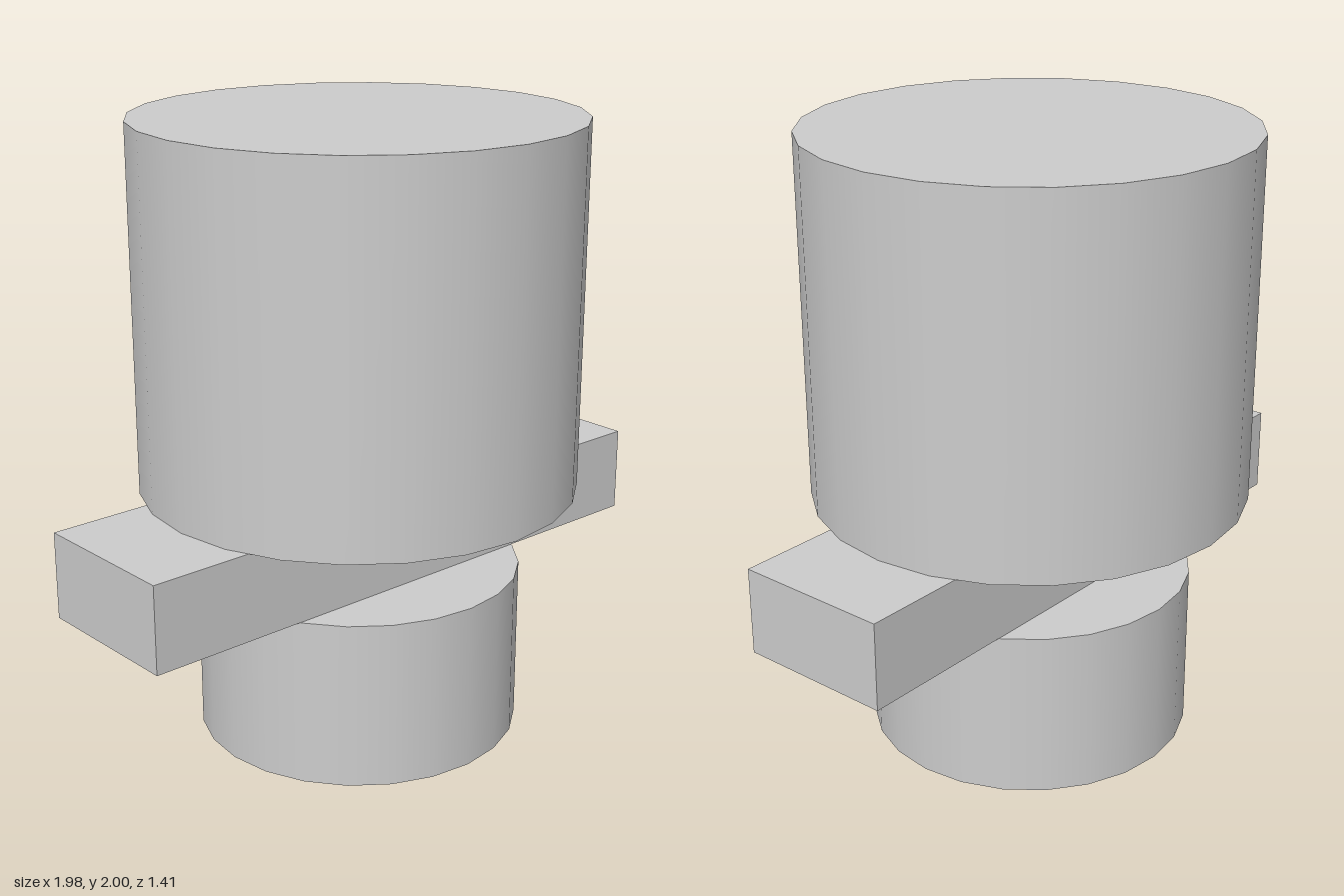
import * as THREE from 'three';

export function createModel() {
  const model = new THREE.Group();
  const grey = new THREE.MeshStandardMaterial({ color: 0xcccccc });
  grey.name = 'plain grey';

  const add = (name, geometry, bottom, top) => {
    const mesh = new THREE.Mesh(geometry, grey);
    mesh.name = name;
    mesh.position.y = (bottom + top) / 2;
    model.add(mesh);
  };
  const drum = (name, radius, bottom, top) =>
    add(name, new THREE.CylinderGeometry(radius, radius, top - bottom, 24), bottom, top);

  // Narrow foot, flat crossbar and wide upper drum, stacked
  drum('baseDrum', 0.527, 0, 0.545);
  add('crossbar', new THREE.BoxGeometry(1.976, 0.28, 0.514), 0.545, 0.825);
  drum('upperDrum', 0.706, 0.825, 2);

  return model;
}
